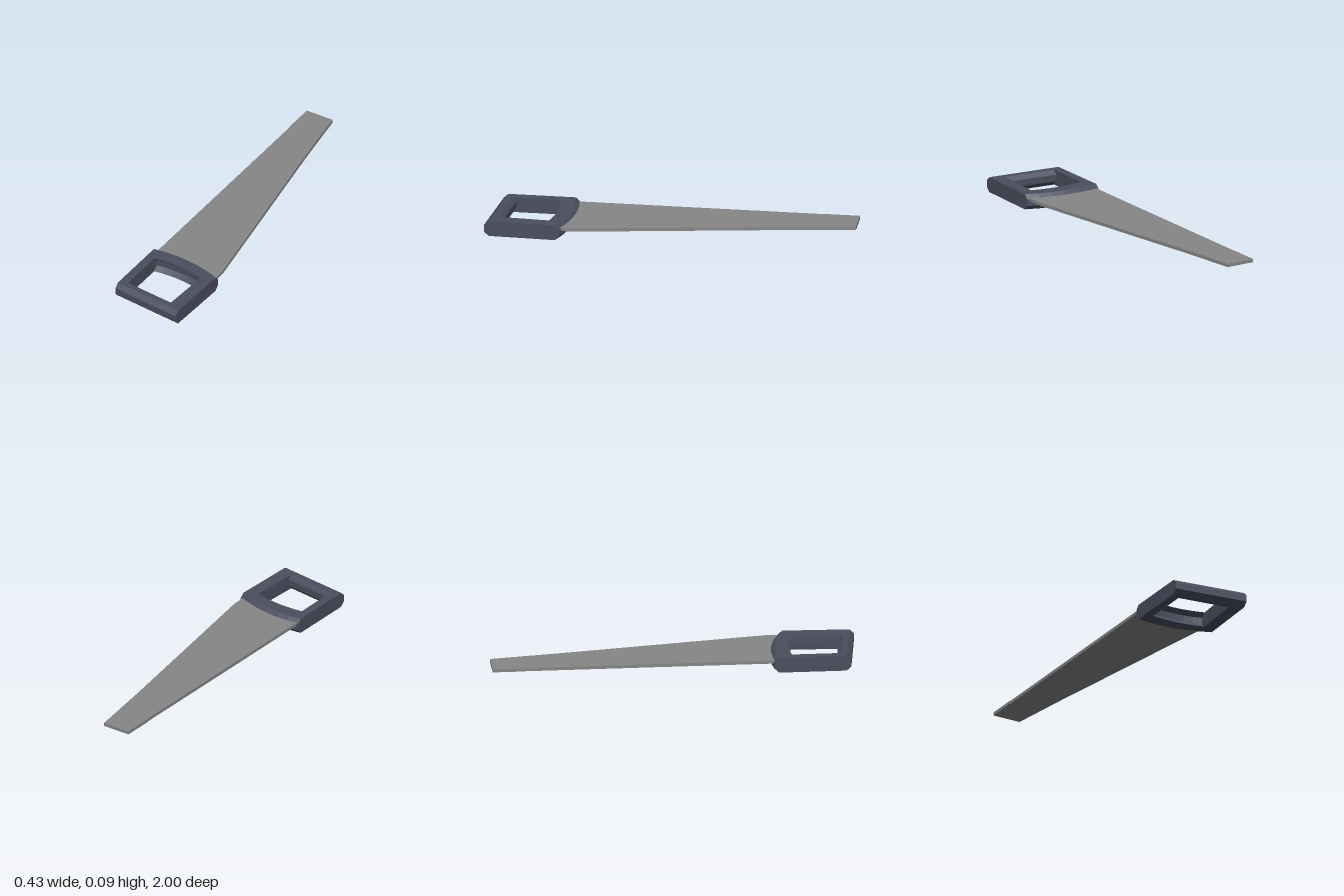
import * as THREE from 'three';

const handleMat = new THREE.MeshStandardMaterial({ color: 0x4a4e5e });
handleMat.name = 'slate handle';
const bladeMat = new THREE.MeshStandardMaterial({ color: 0x868686 });
bladeMat.name = 'grey steel';

const ARC = 6; // segments along the curved blade-side bar

// One closed ring (clockwise from above): curved back edge, then the two front corners
function ring(y, x0, x1, arc, frontRight, frontLeft, backShift, frontShift) {
  const points = [];
  for (let i = 0; i <= ARC; i++) {
    const t = i / ARC, s = 1 - t;
    const z = s * s * arc[0] + 2 * s * t * arc[1] + t * t * arc[2];
    points.push([x0 + (x1 - x0) * t, y, z + backShift]);
  }
  points.push([frontRight[0], y, frontRight[1] + frontShift]);
  points.push([frontLeft[0], y, frontLeft[1] + frontShift]);
  return points;
}

// Closed grip: outer and inner walls stacked over four heights, joined top and bottom
function gripGeometry() {
  const levels = [[0, 0], [0.025, 1], [0.062, 1], [0.085, 0]]; // height, bulge
  const outer = levels.map(([y, b]) =>
    ring(y, -0.215, 0.212, [0.555, 0.518, 0.61], [0.2, 0.975], [-0.215, 0.924], -0.025 * b, 0.025 * b));
  const inner = levels.map(([y, b]) =>
    ring(y, -0.167, 0.142, [0.63, 0.606, 0.652], [0.127, 0.932], [-0.167, 0.896], -0.025 * b, -0.022 * b));
  const pos = [];
  const quad = (a, b, c, d) => pos.push(...a, ...b, ...c, ...a, ...c, ...d);
  const n = outer[0].length, top = levels.length - 1;
  for (let j = 0; j < n; j++) {
    const k = (j + 1) % n;
    for (let l = 0; l < top; l++) {
      quad(outer[l][j], outer[l + 1][j], outer[l + 1][k], outer[l][k]);
      quad(inner[l][k], inner[l + 1][k], inner[l + 1][j], inner[l][j]);
    }
    quad(outer[top][j], inner[top][j], inner[top][k], outer[top][k]);
    quad(outer[0][k], inner[0][k], inner[0][j], outer[0][j]);
  }
  const g = new THREE.BufferGeometry();
  g.setAttribute('position', new THREE.Float32BufferAttribute(pos, 3));
  g.computeVertexNormals();
  return g;
}

// Tapered blade: outline in x and z, extruded upward
function bladeGeometry() {
  const outline = [
    [-0.203, 0.57], [0.198, 0.595], [0.197, 0.51], [0.012, -0.63],
    [-0.042, -1], [-0.206, -1], [-0.206, -0.82], [-0.203, -0.82],
  ];
  const shape = new THREE.Shape(outline.map(([x, z]) => new THREE.Vector2(x, -z)));
  const g = new THREE.ExtrudeGeometry(shape, { depth: 0.018, bevelEnabled: false });
  g.rotateX(-Math.PI / 2);
  g.translate(0, 0.049, 0);
  return g;
}

export function createModel() {
  const group = new THREE.Group();
  group.name = 'handSaw';

  const handle = new THREE.Mesh(gripGeometry(), handleMat);
  handle.name = 'handle';
  const blade = new THREE.Mesh(bladeGeometry(), bladeMat);
  blade.name = 'blade';

  group.add(handle, blade);
  return group;
}
